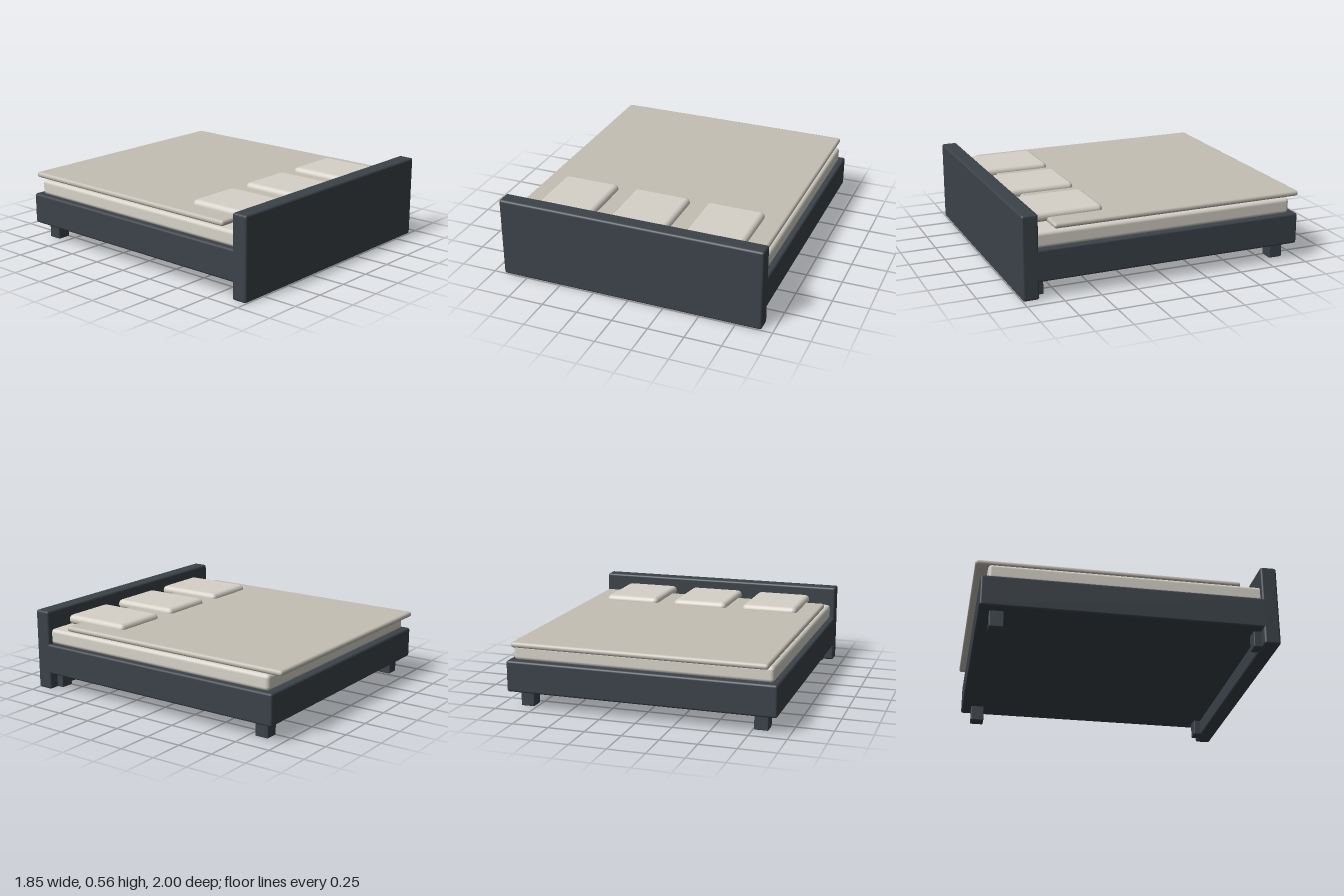
import * as THREE from 'three';
import { RoundedBoxGeometry } from 'three/addons/geometries/RoundedBoxGeometry.js';

const material = (color) => new THREE.MeshStandardMaterial({ color });

export function createModel() {
  const bed = new THREE.Group();
  bed.name = 'bed';

  const dark = material(0x3b4249);
  const linen = material(0xd6d2c8);
  const cover = material(0xc4bfb4);

  // Soft-edged box given by its extents on each axis
  function softBox(name, [x0, x1], [y0, y1], [z0, z1], radius, mat) {
    const geometry = new RoundedBoxGeometry(x1 - x0, y1 - y0, z1 - z0, 2, radius);
    const mesh = new THREE.Mesh(geometry, mat);
    mesh.name = name;
    mesh.position.set((x0 + x1) / 2, (y0 + y1) / 2, (z0 + z1) / 2);
    bed.add(mesh);
    return mesh;
  }

  // Wooden base and headboard
  softBox('headboard', [-0.925, 0.925], [0, 0.565], [0.89, 1], 0.015, dark);
  softBox('bedFrame', [-0.925, 0.925], [0.115, 0.33], [-0.965, 0.92], 0.015, dark);

  // Legs, mirrored left and right
  for (const side of [-1, 1]) {
    const label = side > 0 ? 'Left' : 'Right';
    const xs = [side * 0.808 - 0.047, side * 0.808 + 0.047];
    softBox('footLeg' + label, xs, [0.005, 0.13], [-0.895, -0.8], 0.006, dark);
    softBox('headLeg' + label, xs, [0.005, 0.13], [0.84, 0.935], 0.006, dark);
  }

  // Bedding
  softBox('mattress', [-0.89, 0.89], [0.325, 0.432], [-0.917, 0.91], 0.025, linen);
  softBox('blanket', [-0.872, 0.872], [0.432, 0.47], [-1, 0.765], 0.018, cover);

  // Row of three pillows
  for (const [i, x] of [-0.532, 0, 0.532].entries()) {
    softBox('pillow' + (i + 1), [x - 0.203, x + 0.203], [0.436, 0.506], [0.378, 0.882], 0.034, linen);
  }

  return bed;
}
